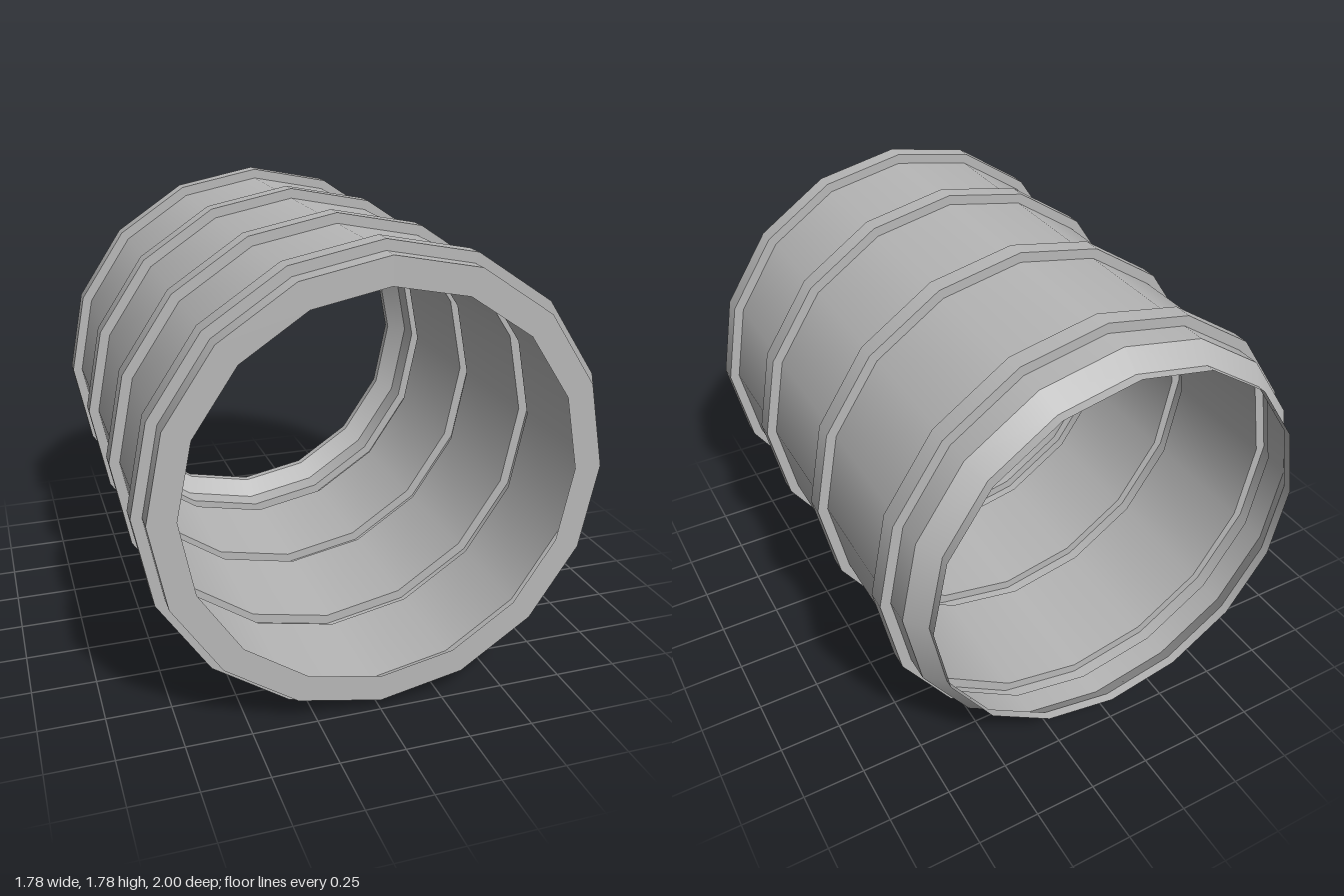
import * as THREE from 'three';

const SIDES = 16;
const R_WALL = 0.85;   // thin outer wall
const R_RIB = 0.89;    // raised ribs, hollow behind
const R_MOUTH = 0.745; // front opening
const R_NECK = 0.785;  // rear opening

export function createModel() {
  const model = new THREE.Group();
  model.name = 'pipeSection';
  const grey = new THREE.MeshStandardMaterial({ color: 0xb8b8b8, side: THREE.DoubleSide });
  grey.name = 'grey';

  // One band of the shell between two (radius, z) points, smooth around the axis
  function band(name, r0, z0, r1, z1, parent = model) {
    const points = [new THREE.Vector2(r0, z0), new THREE.Vector2(r1, z1)];
    const geometry = new THREE.LatheGeometry(points, SIDES);
    geometry.rotateX(Math.PI / 2);
    const mesh = new THREE.Mesh(geometry, grey);
    mesh.name = name;
    parent.add(mesh);
  }

  // Rear neck and shoulder
  band('neck', R_NECK, -1, R_NECK, -0.965);
  band('shoulder', R_NECK, -0.965, R_WALL, -0.89);

  // Wall sections alternating with raised ribs, from back to front
  let z = -0.89;
  for (const centre of [-0.757, -0.175, 0.403, 0.895]) {
    const back = centre - 0.036, front = centre + 0.036;
    band('wall', R_WALL, z, R_WALL, back);
    const rib = new THREE.Group();
    rib.name = 'rib';
    band('ribBack', R_WALL, back, R_RIB, back, rib);
    band('ribOuter', R_RIB, back, R_RIB, front, rib);
    band('ribFront', R_RIB, front, R_WALL, front, rib);
    model.add(rib);
    z = front;
  }
  band('wall', R_WALL, z, R_WALL, 1);

  // Flat rim around the front opening
  band('frontRim', R_WALL, 1, R_MOUTH, 1);

  // Rest the lowest corner of the ribs on the ground
  for (const part of model.children) part.position.y = R_RIB;
  return model;
}
